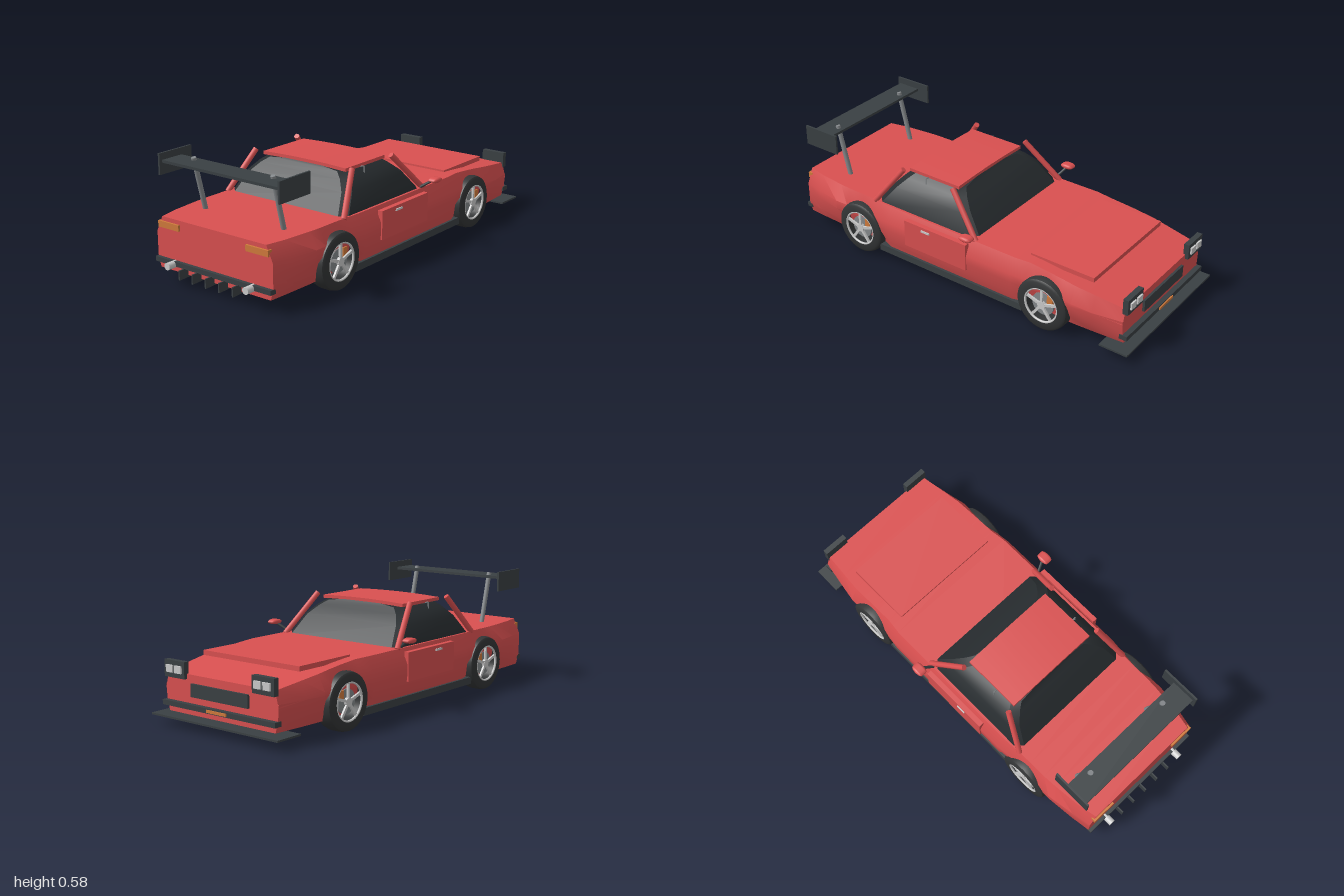
import * as THREE from 'three';
import { toCreasedNormals } from 'three/addons/utils/BufferGeometryUtils.js';

const paint = (color) => new THREE.MeshStandardMaterial({ color });
const RED = paint(0xd95050), DARK = paint(0x3a4043), GLASS = paint(0x282d30);
const TYRE = paint(0x333536), ORANGE = paint(0xd07a3c), SILVER = paint(0xcccccc), STEEL = paint(0x85898c);

export function createModel() {
  const car = new THREE.Group();
  car.name = 'raceCar';

  const add = (name, geometry, material, parent = car) => {
    const mesh = new THREE.Mesh(geometry, material);
    mesh.name = name;
    parent.add(mesh);
    return mesh;
  };
  // box given by its minimum and maximum on each axis
  const box = (name, material, [x0, x1], [y0, y1], [z0, z1], parent) => {
    const mesh = add(name, new THREE.BoxGeometry(x1 - x0, y1 - y0, z1 - z0), material, parent);
    mesh.position.set((x0 + x1) / 2, (y0 + y1) / 2, (z0 + z1) / 2);
    return mesh;
  };
  // the same box on both sides
  const pair = (name, material, [x0, x1], y, z) => {
    box(name + 'Left', material, [x0, x1], y, z);
    box(name + 'Right', material, [-x1, -x0], y, z);
  };
  // round bar between two points
  const bar = (name, material, from, to, radius, sides = 12) => {
    const a = new THREE.Vector3(...from), b = new THREE.Vector3(...to);
    const mesh = add(name, new THREE.CylinderGeometry(radius, radius, a.distanceTo(b), sides), material);
    mesh.position.copy(a).add(b).multiplyScalar(0.5);
    mesh.quaternion.setFromUnitVectors(new THREE.Vector3(0, 1, 0), b.sub(a).normalize());
    return mesh;
  };
  // closed skin over a row of equal-length rings
  const loft = (rings, crease) => {
    const n = rings[0].length, index = [];
    for (let i = 0; i < rings.length - 1; i++) {
      for (let j = 0; j < n; j++) {
        const a = i * n + j, b = i * n + (j + 1) % n;
        index.push(a, b, b + n, a, b + n, a + n);
      }
    }
    const last = (rings.length - 1) * n;
    for (let j = 1; j < n - 1; j++) {
      index.push(0, j + 1, j, last, last + j, last + j + 1);
    }
    const geometry = new THREE.BufferGeometry();
    geometry.setAttribute('position', new THREE.Float32BufferAttribute(rings.flat(2), 3));
    geometry.setIndex(index);
    return toCreasedNormals(geometry, crease);
  };

  // body: z, top height, half widths at top, waist, sill and floor
  const sections = [
    [-0.945, 0.248, 0.325, 0.345, 0.34, 0.325],
    [-0.80, 0.268, 0.34, 0.372, 0.36, 0.335],
    [-0.70, 0.282, 0.35, 0.388, 0.37, 0.34],
    [-0.64, 0.29, 0.35, 0.386, 0.35, 0.34],
    [-0.55, 0.30, 0.35, 0.376, 0.34, 0.33],
    [-0.45, 0.308, 0.35, 0.386, 0.35, 0.34],
    [-0.37, 0.31, 0.36, 0.394, 0.385, 0.365],
    [0.37, 0.31, 0.36, 0.394, 0.385, 0.365],
    [0.45, 0.31, 0.355, 0.386, 0.35, 0.34],
    [0.55, 0.31, 0.35, 0.376, 0.34, 0.33],
    [0.64, 0.31, 0.35, 0.386, 0.35, 0.34],
    [0.71, 0.31, 0.345, 0.388, 0.37, 0.34],
    [0.85, 0.31, 0.33, 0.365, 0.36, 0.335],
    [0.945, 0.31, 0.31, 0.345, 0.345, 0.33],
  ];
  add('body', loft(sections.map(([z, h, top, waist, sill, floor]) => {
    const half = [[floor, 0.065], [sill, 0.12], [waist, 0.19], [waist, h - 0.075], [top, h]];
    const left = half.map(([x, y]) => [x, y, z]);
    return [...left, ...left.map(([x, y]) => [-x, y, z]).reverse()];
  }), 0.5), RED);

  // window block: height, half width, front and rear edges
  add('windows', loft([
    [0.30, 0.352, -0.145, 0.475], [0.40, 0.315, -0.06, 0.40],
    [0.445, 0.275, -0.01, 0.36], [0.47, 0.24, 0.02, 0.335], [0.48, 0.15, 0.03, 0.33],
  ].map(([y, w, z0, z1]) => {
    const c = 0.035;
    return [[w, y, z1 - c], [w, y, z0 + c], [w - c, y, z0], [c - w, y, z0],
      [-w, y, z0 + c], [-w, y, z1 - c], [c - w, y, z1], [w - c, y, z1]];
  }), 0.4), GLASS);

  // gently crowned roof
  const roof = new THREE.BoxGeometry(0.5, 0.016, 0.3, 8, 1, 1);
  const p = roof.attributes.position;
  for (let i = 0; i < p.count; i++) p.setY(i, p.getY(i) - 0.1 * p.getX(i) ** 2);
  roof.computeVertexNormals();
  add('roof', roof, RED).position.set(0, 0.488, 0.18);

  // lids and doors
  box('bonnetPanel', RED, [-0.295, 0.295], [0.295, 0.318], [-0.76, -0.42]);
  pair('door', RED, [0.375, 0.4], [0.155, 0.295], [-0.12, 0.25]);
  pair('doorHandle', SILVER, [0.395, 0.405], [0.27, 0.28], [0.095, 0.145]);
  pair('sideSkirt', DARK, [0.345, 0.385], [0.05, 0.085], [-0.43, 0.43]);

  for (const s of [-1, 1]) {
    // roof pillars
    bar('frontPillar', RED, [s * 0.352, 0.305, -0.145], [s * 0.29, 0.497, 0.035], 0.014, 8);
    bar('rearPillar', RED, [s * 0.352, 0.305, 0.475], [s * 0.29, 0.497, 0.335], 0.014, 8);
    // small window clips
    bar('clipArm', STEEL, [s * 0.24, 0.472, 0.215], [s * 0.268, 0.48, 0.215], 0.003, 6);
    bar('clipLeg', STEEL, [s * 0.268, 0.48, 0.215], [s * 0.27, 0.435, 0.215], 0.003, 6);
    // door mirrors
    bar('mirrorStem', DARK, [s * 0.355, 0.315, -0.12], [s * 0.41, 0.352, -0.145], 0.007, 8);
    const mirror = add('mirror', new THREE.CapsuleGeometry(0.013, 0.026, 4, 10), RED);
    mirror.rotation.z = Math.PI / 2;
    mirror.scale.z = 2.7;
    mirror.position.set(s * 0.423, 0.357, -0.145);
    // wing posts and exhausts
    bar('wingPost', STEEL, [s * 0.235, 0.305, 0.745], [s * 0.235, 0.565, 0.81], 0.012, 16);
    bar('exhaust', SILVER, [s * 0.235, 0.102, 0.92], [s * 0.235, 0.102, 1], 0.017, 20);
  }

  // rear wing
  box('wingBlade', DARK, [-0.347, 0.347], [0.54, 0.553], [0.775, 0.895]);
  pair('wingEndPlate', DARK, [0.348, 0.358], [0.485, 0.585], [0.71, 0.91]);

  // tail
  pair('tailLight', ORANGE, [0.2, 0.327], [0.261, 0.29], [0.93, 0.955]);
  box('rearBumper', DARK, [-0.345, 0.345], [0.095, 0.118], [0.93, 0.962]);
  const finShape = new THREE.Shape();
  finShape.moveTo(0.8, 0.07).lineTo(0.8, 0.06).lineTo(1, 0.055).lineTo(1, 0.1).lineTo(0.93, 0.1);
  for (let i = -2; i <= 2; i++) {
    const fin = add('diffuserFin', new THREE.ExtrudeGeometry(finShape, { depth: 0.007, bevelEnabled: false }), DARK);
    fin.rotation.y = -Math.PI / 2;
    fin.position.x = i * 0.08 + 0.0035;
  }

  // nose
  box('splitter', DARK, [-0.387, 0.387], [0.047, 0.056], [-1, -0.855]);
  box('frontBumper', DARK, [-0.345, 0.345], [0.095, 0.118], [-0.97, -0.93]);
  box('grille', DARK, [-0.175, 0.175], [0.15, 0.21], [-0.957, -0.93]);
  box('noseMarker', ORANGE, [-0.06, 0.06], [0.1, 0.113], [-0.976, -0.965]);
  pair('headlightHousing', DARK, [0.207, 0.335], [0.225, 0.303], [-0.962, -0.935]);
  for (const x of [0.222, 0.276]) pair('headlamp', SILVER, [x, x + 0.042], [0.248, 0.282], [-0.97, -0.955]);

  // wheel built with its outer face towards +x
  const tyreProfile = [[0.09, -0.045], [0.122, -0.045], [0.132, -0.038], [0.136, -0.02],
    [0.136, 0.02], [0.132, 0.038], [0.122, 0.045], [0.09, 0.045], [0.09, -0.045]]
    .map(([r, y]) => new THREE.Vector2(r, y));
  const tyreGeometry = toCreasedNormals(new THREE.LatheGeometry(tyreProfile, 40), 0.7).rotateZ(-Math.PI / 2);
  const rimGeometry = new THREE.TorusGeometry(0.088, 0.006, 8, 40).rotateY(Math.PI / 2);
  const disc = (r, depth) => new THREE.CylinderGeometry(r, r, depth, 28).rotateZ(Math.PI / 2);
  for (const s of [-1, 1]) {
    for (const z of [-0.548, 0.548]) {
      const wheel = new THREE.Group();
      wheel.name = (z < 0 ? 'front' : 'rear') + 'Wheel' + (s > 0 ? 'Left' : 'Right');
      add('tyre', tyreGeometry, TYRE, wheel);
      add('rim', rimGeometry, SILVER, wheel).position.x = s * 0.04;
      add('brakeDisc', disc(0.058, 0.012), STEEL, wheel).position.x = s * 0.021;
      add('hub', disc(0.02, 0.02), SILVER, wheel).position.x = s * 0.032;
      box('caliper', ORANGE, [s * 0.024 - 0.008, s * 0.024 + 0.008], [0.01, 0.055], [-0.055, -0.025], wheel);
      for (let i = 0; i < 5; i++) {
        const spoke = add('spoke', new THREE.BoxGeometry(0.01, 0.078, 0.013).translate(s * 0.036, 0.05, 0), SILVER, wheel);
        spoke.rotation.x = i * Math.PI * 0.4;
      }
      wheel.position.set(s * 0.355, 0.138, z);
      car.add(wheel);
    }
  }
  return car;
}
